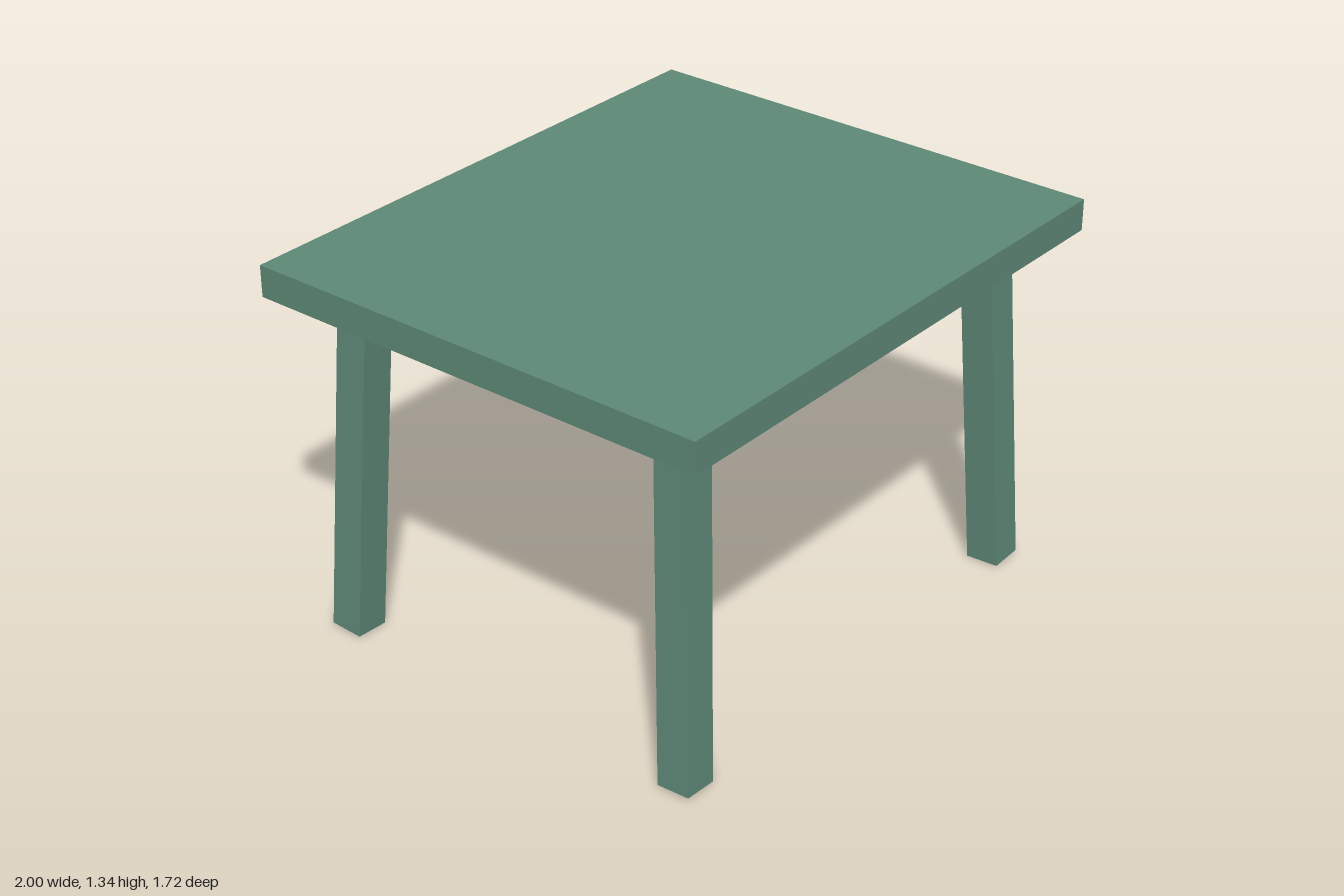
import * as THREE from 'three';

const TILT = 0.05;
const LEG = { width: 0.12, length: 1.24, x: 0.809, z: 0.664 };

export function createModel() {
  const table = new THREE.Group();
  table.name = 'table';
  const paint = new THREE.MeshStandardMaterial({ color: 0x5f8a78 });

  // Flat slab top
  const top = new THREE.Mesh(new THREE.BoxGeometry(2, 0.11, 1.716), paint);
  top.name = 'tableTop';
  top.position.y = 1.285;
  table.add(top);

  // Four square legs, splayed outwards towards the floor
  const legGeometry = new THREE.BoxGeometry(LEG.width, LEG.length, LEG.width);
  const footLift = LEG.width * Math.sin(TILT);
  const centreY = footLift + (LEG.length / 2) * Math.cos(TILT) ** 2;
  for (const sz of [1, -1]) {
    for (const sx of [1, -1]) {
      const leg = new THREE.Mesh(legGeometry, paint);
      leg.name = (sz > 0 ? 'front' : 'back') + (sx > 0 ? 'Left' : 'Right') + 'Leg';
      leg.position.set(sx * LEG.x, centreY, sz * LEG.z);
      leg.rotation.set(-sz * TILT, 0, sx * TILT);
      table.add(leg);
    }
  }
  return table;
}
